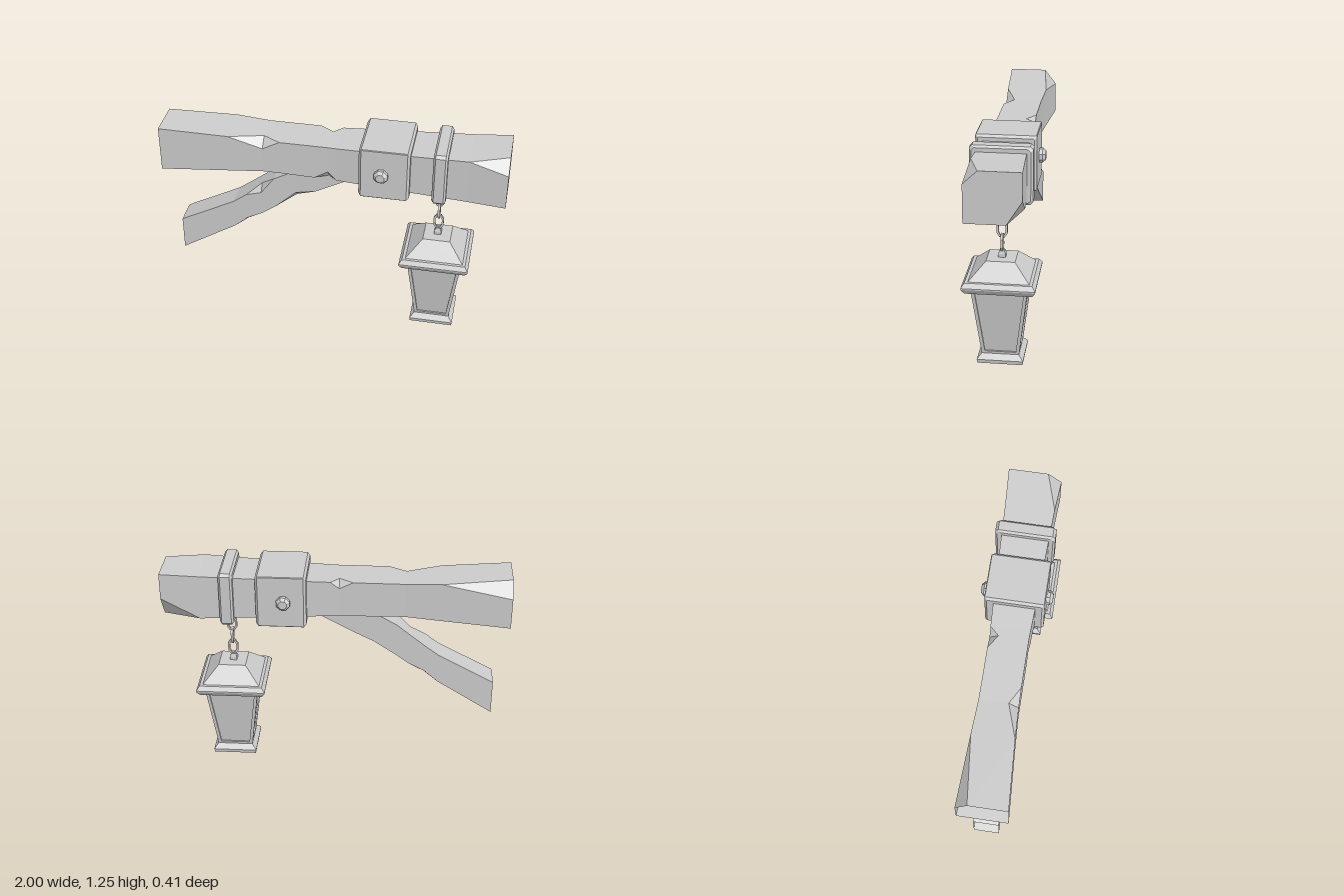
import * as THREE from 'three';

const mat = new THREE.MeshStandardMaterial({ color: 0xcccccc, flatShading: true });
const openMat = new THREE.MeshStandardMaterial({ color: 0xcccccc, flatShading: true, side: THREE.DoubleSide });

function add(parent, name, geometry, x = 0, y = 0, z = 0, material = mat) {
  const mesh = new THREE.Mesh(geometry, material);
  mesh.name = name;
  mesh.position.set(x, y, z);
  parent.add(mesh);
  return mesh;
}

// Timber lofted along x. Section: [x, bottom, top, half depth, corner cuts].
// Corner cuts are [dy, dz], keyed f/b (front/back) + t/b (top/bottom).
function loft(sections, capStart, capEnd) {
  const pos = [], index = [], none = [0, 0];
  for (const [x, y0, y1, h, cuts = {}] of sections) {
    const { fb = none, ft = none, bt = none, bb = none } = cuts;
    const ring = [
      [h, y0 + fb[0]], [h, y1 - ft[0]], [h - ft[1], y1], [bt[1] - h, y1],
      [-h, y1 - bt[0]], [-h, y0 + bb[0]], [bb[1] - h, y0], [h - fb[1], y0],
    ];
    for (const [z, y] of ring) pos.push(x, y, z);
  }
  for (let s = 0; s < sections.length - 1; s++) {
    for (let i = 0; i < 8; i++) {
      const a = s * 8 + i, b = s * 8 + (i + 1) % 8;
      index.push(a, a + 8, b, b, a + 8, b + 8);
    }
  }
  const last = (sections.length - 1) * 8;
  for (let i = 1; i < 7; i++) {
    if (capStart) index.push(0, i, i + 1);
    if (capEnd) index.push(last, last + i + 1, last + i);
  }
  const indexed = new THREE.BufferGeometry();
  indexed.setAttribute('position', new THREE.Float32BufferAttribute(pos, 3));
  indexed.setIndex(index);
  const g = indexed.toNonIndexed();
  g.computeVertexNormals();
  return g;
}

// Chamfered band wrapped around the beam
function band(x0, x1, y0, y1, h, bevel, corner) {
  const c = [corner, corner];
  const cuts = { fb: c, ft: c, bt: c, bb: c };
  const ring = (x, d) => [x, y0 + d, y1 - d, h - d, cuts];
  return loft([ring(x0, bevel), ring(x0 + bevel, 0), ring(x1 - bevel, 0), ring(x1, bevel)], true, true);
}

// Square turned solid from [half width, y] pairs, bottom to top
function square(profile) {
  const pts = profile.map(([r, y]) => new THREE.Vector2(r * Math.SQRT2, y));
  return new THREE.LatheGeometry(pts, 4, Math.PI / 4).toNonIndexed();
}

function polygon(points, Type = THREE.Shape) {
  return new Type(points.map(([x, y]) => new THREE.Vector2(x, y)));
}

function linkGeometry() {
  const outline = (w, h) => [
    [w, -h * 0.5], [w, h * 0.5], [w * 0.5, h], [-w * 0.5, h],
    [-w, h * 0.5], [-w, -h * 0.5], [-w * 0.5, -h], [w * 0.5, -h],
  ];
  const shape = polygon(outline(0.03, 0.048));
  shape.holes.push(polygon(outline(0.019, 0.036), THREE.Path));
  const g = new THREE.ExtrudeGeometry(shape, { depth: 0.014, bevelEnabled: false });
  return g.translate(0, 0, -0.007);
}

export function createModel() {
  const model = new THREE.Group();
  model.name = 'hangingLantern';

  // Weathered beam, open at its inner end, with chipped corners
  add(model, 'beam', loft([
    [-1, 0.95, 1.225, 0.145, { bt: [0.09, 0.07] }],
    [-0.6, 0.972, 1.205, 0.12],
    [-0.4, 0.985, 1.195, 0.11, { ft: [0.055, 0.055] }],
    [-0.3, 0.985, 1.195, 0.11],
    [-0.1, 0.98, 1.195, 0.11],
    [-0.02, 0.98, 1.195, 0.11, { bt: [0.04, 0.05], fb: [0.05, 0.04] }],
    [0.03, 0.978, 1.195, 0.112],
    [0.2, 0.972, 1.2, 0.12],
    [0.78, 0.953, 1.222, 0.143],
    [1, 0.945, 1.235, 0.155, { ft: [0.075, 0.08], bb: [0.135, 0.085] }],
  ], false, true), 0, 0, 0, openMat);

  // Diagonal brace, open at its foot
  add(model, 'brace', loft([
    [-0.93, 0.33, 0.54, 0.075],
    [-0.6, 0.535, 0.715, 0.073],
    [-0.52, 0.585, 0.775, 0.072, { fb: [0.02, 0.03], bb: [0.02, 0.03] }],
    [-0.43, 0.65, 0.845, 0.07, { ft: [0.045, 0.04] }],
    [-0.35, 0.708, 0.91, 0.07],
    [-0.22, 0.795, 0.98, 0.07, { fb: [0.035, 0.035] }],
    [-0.1, 0.855, 0.995, 0.072],
    [0.12, 0.975, 1.0, 0.075],
  ], false, true), 0, 0, 0, openMat);

  // Collar with a bolt on each side, and the hanging strap
  add(model, 'collar', band(0.165, 0.455, 0.928, 1.245, 0.17, 0.014, 0.004));
  const boltGeometry = new THREE.LatheGeometry(
    [[0.042, 0], [0.042, 0.025], [0.026, 0.042], [0, 0.042]].map(([r, y]) => new THREE.Vector2(r, y)),
    8, Math.PI / 8).toNonIndexed();
  for (const side of [1, -1]) {
    add(model, 'bolt', boltGeometry, 0.295, 1.087, side * 0.164).rotation.x = side * Math.PI / 2;
  }
  add(model, 'strap', band(0.583, 0.663, 0.925, 1.253, 0.172, 0.012, 0.016));

  const lantern = new THREE.Group();
  lantern.name = 'lantern';
  lantern.position.x = 0.62;
  model.add(lantern);

  // Chain of alternating links between two lugs
  add(lantern, 'upperLug', square([[0, 0.888], [0.014, 0.888], [0.024, 0.912], [0.024, 0.935]]));
  const link = linkGeometry();
  [0.85, 0.767, 0.688].forEach((y, i) => {
    add(lantern, 'chainLink', link, 0, y, 0).rotation.y = i % 2 ? Math.PI / 2 : 0;
  });
  add(lantern, 'lowerLug', square([[0.021, 0.6], [0.021, 0.622], [0.013, 0.645], [0, 0.645]]));

  // Roof with projecting eaves
  add(lantern, 'roof', square([
    [0, 0.453], [0.185, 0.453], [0.203, 0.482], [0.203, 0.49],
    [0.185, 0.515], [0.168, 0.515], [0.08, 0.605], [0, 0.605],
  ]));

  // Recessed panes and a tapered frame on each side
  add(lantern, 'panes', square([[0.096, 0.05], [0.146, 0.457]]));
  const frame = polygon([[-0.105, 0], [0.105, 0], [0.155, 0.405], [-0.155, 0.405]]);
  frame.holes.push(polygon([[-0.087, 0.015], [-0.135, 0.395], [0.135, 0.395], [0.087, 0.015]], THREE.Path));
  const frameGeometry = new THREE.ExtrudeGeometry(frame, { depth: 0.012, bevelEnabled: false });
  frameGeometry.translate(0, 0, -0.012).rotateX(Math.atan2(0.05, 0.4)).translate(0, 0.052, 0.105);
  for (let i = 0; i < 4; i++) {
    add(lantern, 'sideFrame', frameGeometry).rotation.y = i * Math.PI / 2;
  }

  // Stepped foot
  add(lantern, 'foot', square([
    [0, 0], [0.127, 0], [0.13, 0.022], [0.125, 0.028], [0.1, 0.056], [0, 0.056],
  ]));

  return model;
}
